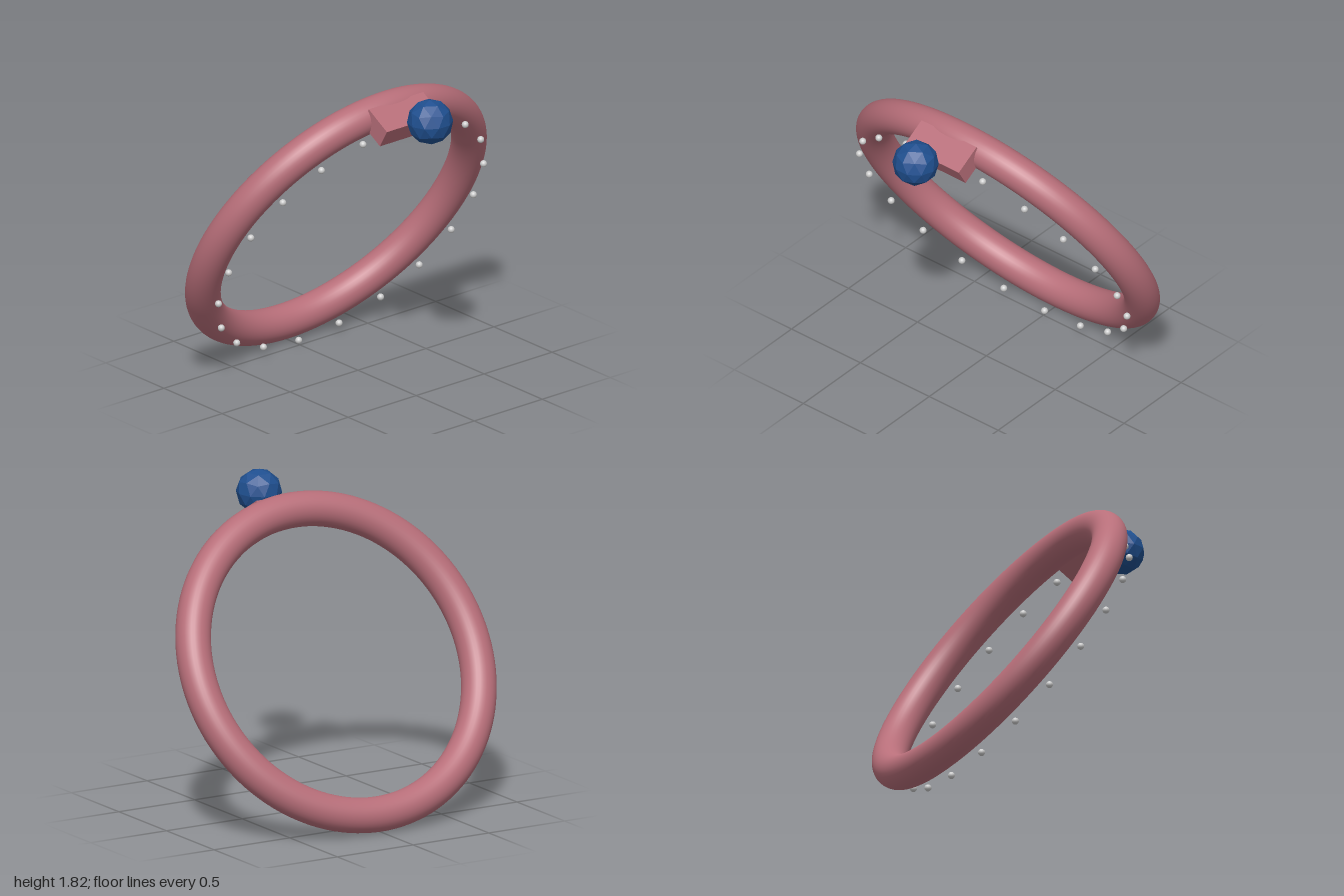
import * as THREE from 'three';

const material = (color, flatShading = false) => new THREE.MeshStandardMaterial({ color, flatShading });

export function createModel() {
  const model = new THREE.Group();
  model.name = 'ring';

  // Everything is laid out in the plane of the band, then leaned forward.
  const tilted = new THREE.Group();
  tilted.name = 'tiltedRing';
  tilted.rotation.x = Math.PI / 6;
  tilted.position.set(0, 0.88, -0.19);
  model.add(tilted);

  const add = (name, geometry, mat, x, y, z) => {
    const mesh = new THREE.Mesh(geometry, mat);
    mesh.name = name;
    mesh.position.set(x, y, z);
    tilted.add(mesh);
    return mesh;
  };

  const metal = material(0xb76e79);
  const R = 0.9;

  // Round band
  add('band', new THREE.TorusGeometry(R, 0.1, 32, 128), metal, 0, 0, 0);

  // Block-shaped setting at the top of the band
  add('setting', new THREE.BoxGeometry(0.4, 0.12, 0.18), metal, 0, 0.93, 0.115);

  // Faceted gem floating in front of the setting
  const gem = add('gem', new THREE.IcosahedronGeometry(0.13, 1), material(0x1f4f8f, true), 0, 1.105, 0.297);
  gem.rotation.x = -Math.PI / 2;

  // Small beads every 18 degrees, leaving out the place of the setting
  const beadGeometry = new THREE.SphereGeometry(0.02, 16, 12);
  const beadMaterial = material(0xcccccc);
  for (let i = 1; i < 20; i++) {
    const a = (i / 20) * Math.PI * 2;
    add('bead' + i, beadGeometry, beadMaterial, R * Math.sin(a), R * Math.cos(a), 0.15);
  }

  return model;
}
